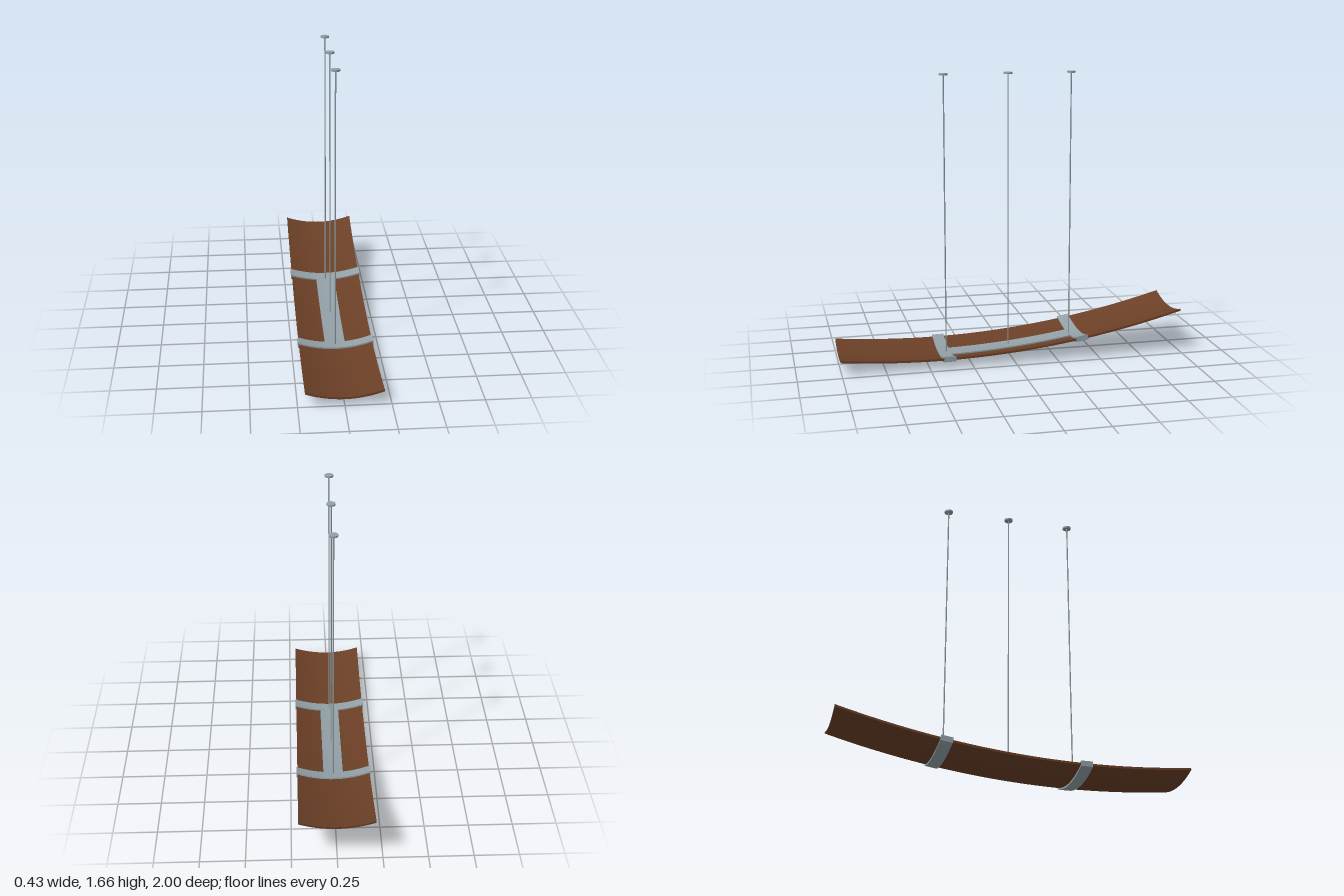
import * as THREE from 'three';

const HALF_W = 0.21;   // half width of the panel
const SAG = 0.037;     // how far the long edges rise above the centre line
const THICK = 0.012;   // panel thickness

// underside centre line, running front to back
const spine = z => 0.0305 - 0.0865 * z + 0.0965 * z * z;
const slope = z => -0.0865 + 0.193 * z;
const dish = x => SAG * (x / HALF_W) ** 2;

// a slab bent onto the doubly curved panel, lying between heights t0 and t1 over its underside
function bentSlab(halfW, z0, z1, t0, t1, lean = 0) {
  const geo = new THREE.BoxGeometry(2 * halfW, t1 - t0, z1 - z0, 28, 1, Math.max(2, Math.round((z1 - z0) * 28)));
  geo.translate(0, (t0 + t1) / 2, (z0 + z1) / 2);
  const p = geo.attributes.position;
  for (let i = 0; i < p.count; i++) {
    const x = p.getX(i), z = p.getZ(i);
    const rise = dish(x) + p.getY(i);
    p.setXYZ(i, x, spine(z) + rise, z - lean * (rise - SAG / 2));
  }
  geo.computeVertexNormals();
  return geo;
}

export function createModel() {
  const model = new THREE.Group();
  const wood = new THREE.MeshStandardMaterial({ color: 0x6b3f26 });
  wood.name = 'walnut brown';
  const metal = new THREE.MeshStandardMaterial({ color: 0x92a1a7 });
  metal.name = 'grey metal';

  const add = (name, geo, mat) => {
    const mesh = new THREE.Mesh(geo, mat);
    mesh.name = name;
    model.add(mesh);
    return mesh;
  };

  // curved wooden panel
  add('panel', bentSlab(HALF_W, -1, 1, 0, THICK), wood);

  // straps wrapped round the panel, square to its slope
  for (const [name, z] of [['frontStrap', 0.385], ['backStrap', -0.4]]) {
    add(name, bentSlab(0.216, z - 0.034, z + 0.034, -0.01, THICK + 0.009, slope(z)), metal);
  }

  // plate along the middle, joining the straps
  add('centrePlate', bentSlab(0.057, -0.38, 0.37, THICK - 0.002, THICK + 0.008), metal);

  // hanging rods with ceiling discs
  const top = 1.66;
  for (const [name, z] of [['front', 0.372], ['middle', 0], ['back', -0.372]]) {
    const foot = spine(z) + THICK;
    const rod = add(name + 'Rod', new THREE.CylinderGeometry(0.004, 0.004, top - 0.005 - foot, 12), metal);
    rod.position.set(0, (top - 0.005 + foot) / 2, z);
    const disc = add(name + 'CeilingDisc', new THREE.CylinderGeometry(0.025, 0.025, 0.01, 32), metal);
    disc.position.set(0, top - 0.005, z);
  }

  return model;
}
